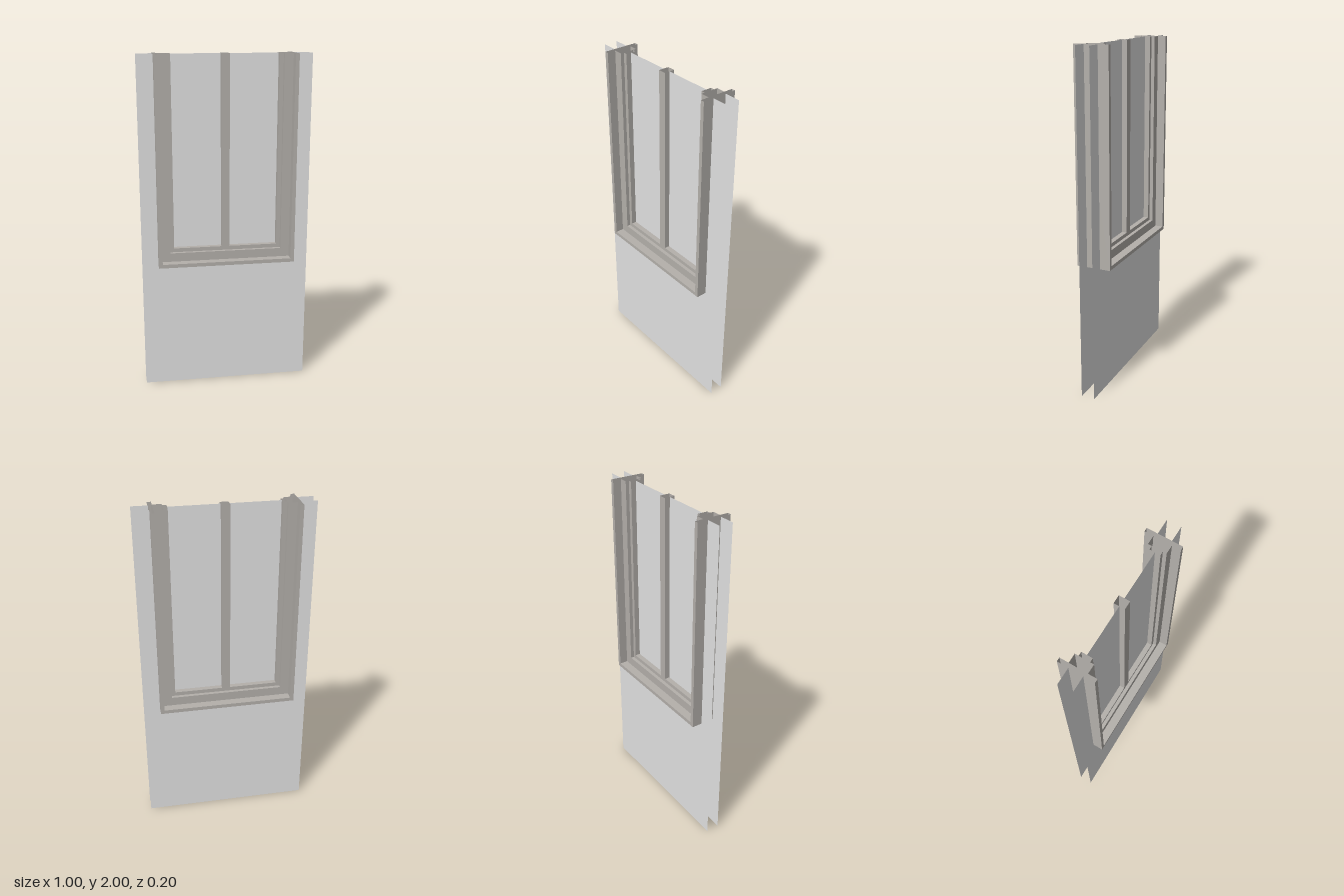
import * as THREE from 'three';

const TOP = 2;
const OUTER = 0.407;   // half width of the window frame
const SILL = 0.773;    // underside of the window frame
const INSET = 0.097;   // total width of the frame members
const BAR = 0.024;     // half width of the mullion

// Sweeps a closed profile through stations; ends stay open, faces stay flat.
function sweep(profile, stations) {
  const pos = [];
  const n = profile.length;
  for (let s = 0; s < stations.length - 1; s++) {
    for (let i = 0; i < n; i++) {
      const p = profile[i], q = profile[(i + 1) % n];
      const a = stations[s](p), b = stations[s + 1](p);
      const c = stations[s + 1](q), d = stations[s](q);
      pos.push(...a, ...b, ...c, ...a, ...c, ...d);
    }
  }
  const geo = new THREE.BufferGeometry();
  geo.setAttribute('position', new THREE.Float32BufferAttribute(pos, 3));
  geo.computeVertexNormals();
  return geo;
}

// Rectangular cross-section from a to b, with half depth z
const section = (a, b, z) => [[a, z], [b, z], [b, -z], [a, -z]];

export function createModel() {
  const group = new THREE.Group();
  const panelGrey = new THREE.MeshStandardMaterial({ color: 0xe2e2e2, side: THREE.DoubleSide });
  panelGrey.name = 'panelGrey';
  const frameTaupe = new THREE.MeshStandardMaterial({ color: 0xb4b0ab, side: THREE.DoubleSide });
  frameTaupe.name = 'frameTaupe';

  const add = (name, geo, mat) => {
    const mesh = new THREE.Mesh(geo, mat);
    mesh.name = name;
    group.add(mesh);
    return mesh;
  };

  // Wall skins: U-shaped sheets around the window, open at the top
  const wall = new THREE.Shape([
    [-0.5, 0], [0.5, 0], [0.5, TOP], [OUTER, TOP],
    [OUTER, SILL], [-OUTER, SILL], [-OUTER, TOP], [-0.5, TOP],
  ].map(([x, y]) => new THREE.Vector2(x, y)));
  const skin = new THREE.ShapeGeometry(wall);
  add('frontWallSkin', skin, panelGrey).position.z = 0.04;
  const back = add('backWallSkin', skin, panelGrey);
  back.position.z = -0.04;
  back.rotation.y = Math.PI;

  // Three nested U-shaped members, each shallower than the one around it
  const aroundWindow = [
    ([a, z]) => [a - OUTER, TOP, z],
    ([a, z]) => [a - OUTER, SILL + a, z],
    ([a, z]) => [OUTER - a, SILL + a, z],
    ([a, z]) => [OUTER - a, TOP, z],
  ];
  const members = [
    ['outerFrame', 0, 0.022, 0.102],
    ['middleFrame', 0.022, 0.074, 0.052],
    ['innerFrame', 0.074, INSET, 0.031],
  ];
  for (const [name, from, to, depth] of members) {
    add(name, sweep(section(from, to, depth), aroundWindow), frameTaupe);
  }

  // Centre mullion, a tube open at its ends
  add('mullion', sweep(section(-BAR, BAR, 0.031), [
    ([x, z]) => [x, TOP, z],
    ([x, z]) => [x, SILL + INSET, z],
  ]), frameTaupe);

  // Glass panes on either side of the mullion
  const inner = OUTER - INSET;
  const height = TOP - SILL - INSET;
  for (const side of [-1, 1]) {
    const pane = add(side > 0 ? 'leftPane' : 'rightPane',
      new THREE.PlaneGeometry(inner - BAR, height), panelGrey);
    pane.position.set(side * (inner + BAR) / 2, TOP - height / 2, 0);
  }

  return group;
}
